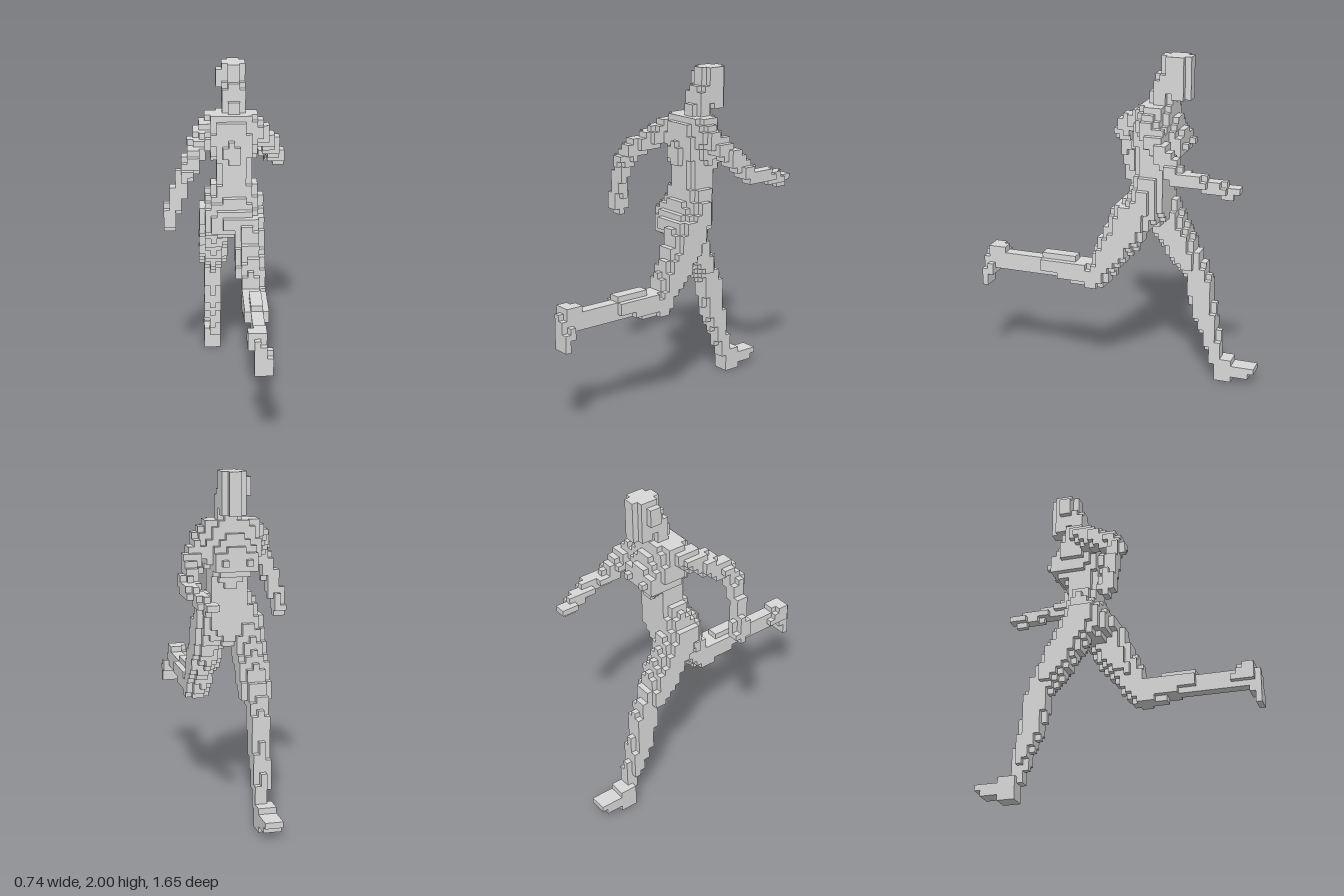
import * as THREE from 'three';

// Voxel runner in mid stride, heading toward -z
const NX = 21, NY = 57, NZ = 47, V = 2 / NY;
const centre = (i, j, k) => [(i - NX / 2 + 0.5) * V, (j + 0.5) * V, (k - NZ / 2 + 0.5) * V];
const lerp = THREE.MathUtils.lerp;

// Solid with elliptical sections lofted along y or z. Stations: [t, a, b, ra, rb]
// axis 'y': a = x, b = z; axis 'z': a = x, b = y
function loft(axis, rows) {
  const s = rows.slice().sort((p, q) => p[0] - q[0]);
  return ([x, y, z]) => {
    const t = axis === 'y' ? y : z, b = axis === 'y' ? z : y;
    for (let n = 0; n < s.length - 1; n++) {
      if (t < s[n][0] || t > s[n + 1][0]) continue;
      const f = (t - s[n][0]) / (s[n + 1][0] - s[n][0]);
      const [, ca, cb, ra, rb] = s[n].map((v, m) => lerp(v, s[n + 1][m], f));
      return ((x - ca) / ra) ** 2 + ((b - cb) / rb) ** 2 <= 1;
    }
    return false;
  };
}

// Chain of tapered capsules through nodes [x, y, z, radius]
function limb(...nodes) {
  return ([x, y, z]) => {
    const p = new THREE.Vector3(x, y, z);
    for (let n = 0; n < Math.max(1, nodes.length - 1); n++) {
      const a = nodes[n], b = nodes[n + 1] || a;
      const A = new THREE.Vector3(...a), d = new THREE.Vector3(...b).sub(A);
      const f = THREE.MathUtils.clamp(p.clone().sub(A).dot(d) / (d.lengthSq() || 1), 0, 1);
      if (A.addScaledVector(d, f).distanceTo(p) <= lerp(a[3], b[3], f)) return true;
    }
    return false;
  };
}

const parts = {
  head: [
    loft('y', [[2, 0.052, -0.335, 0.068, 0.08], [1.95, 0.052, -0.351, 0.072, 0.092],
      [1.85, 0.052, -0.351, 0.072, 0.092], [1.755, 0.052, -0.37, 0.064, 0.07]]),
    limb([-0.035, 1.88, -0.33, 0.025], [-0.035, 1.95, -0.33, 0.025]),
  ],
  neck: [loft('y', [[1.9, 0.052, -0.29, 0.064, 0.062], [1.7, 0.052, -0.26, 0.072, 0.067]])],
  torso: [
    loft('y', [[1.73, 0.035, -0.25, 0.155, 0.08], [1.66, 0.035, -0.235, 0.18, 0.11],
      [1.6, 0.035, -0.24, 0.175, 0.13], [1.5, 0.04, -0.26, 0.15, 0.165], [1.43, 0.05, -0.245, 0.118, 0.14],
      [1.36, 0.052, -0.22, 0.108, 0.11], [1.3, 0.052, -0.212, 0.125, 0.095], [1.22, 0.05, -0.205, 0.175, 0.105],
      [1.1, 0.035, -0.165, 0.195, 0.14], [1.04, 0.035, -0.16, 0.18, 0.13], [0.985, 0.035, -0.17, 0.1, 0.07]]),
    limb([-0.03, 1.49, -0.355, 0.07]), limb([0.105, 1.49, -0.355, 0.07]),
  ],
  leftArm: [limb([0.19, 1.61, -0.22, 0.065], [0.27, 1.51, -0.32, 0.055], [0.325, 1.38, -0.43, 0.048],
    [0.32, 1.365, -0.55, 0.042], [0.29, 1.32, -0.68, 0.038], [0.262, 1.31, -0.755, 0.036])],
  rightArm: [limb([-0.13, 1.62, -0.17, 0.065], [-0.2, 1.51, 0.03, 0.054], [-0.23, 1.46, 0.07, 0.048],
    [-0.295, 1.3, 0.05, 0.042], [-0.34, 1.13, 0.035, 0.044])],
  leftThigh: [loft('y', [[1.14, 0.135, -0.14, 0.09, 0.13], [1, 0.14, -0.1, 0.09, 0.13],
    [0.87, 0.145, -0.03, 0.087, 0.12], [0.75, 0.15, 0.05, 0.077, 0.092], [0.6, 0.155, 0.14, 0.062, 0.092]])],
  leftShin: [loft('z', [[0.04, 0.155, 0.67, 0.07, 0.072], [0.22, 0.158, 0.67, 0.072, 0.075],
    [0.26, 0.158, 0.695, 0.072, 0.077], [0.41, 0.158, 0.7, 0.068, 0.072], [0.44, 0.158, 0.684, 0.04, 0.052],
    [0.6, 0.158, 0.684, 0.04, 0.052], [0.68, 0.145, 0.69, 0.05, 0.06], [0.8, 0.15, 0.7, 0.05, 0.07]])],
  leftFoot: [loft('y', [[0.78, 0.145, 0.735, 0.05, 0.055], [0.69, 0.15, 0.765, 0.055, 0.06],
    [0.62, 0.17, 0.79, 0.05, 0.04], [0.58, 0.175, 0.805, 0.05, 0.025], [0.52, 0.175, 0.805, 0.03, 0.025]])],
  rightLeg: [loft('y', [[1.16, -0.06, -0.19, 0.1, 0.11], [1, -0.07, -0.24, 0.097, 0.128],
    [0.9, -0.07, -0.31, 0.092, 0.115], [0.76, -0.073, -0.378, 0.088, 0.1], [0.65, -0.07, -0.46, 0.062, 0.08],
    [0.4, -0.07, -0.505, 0.057, 0.072], [0.28, -0.07, -0.545, 0.054, 0.06], [0.2, -0.06, -0.57, 0.044, 0.05],
    [0.12, -0.055, -0.595, 0.038, 0.045]])],
  rightFoot: [loft('z', [[-0.83, -0.07, 0.088, 0.05, 0.02], [-0.77, -0.07, 0.07, 0.052, 0.04],
    [-0.69, -0.07, 0.07, 0.055, 0.045], [-0.68, -0.07, 0.07, 0.055, 0.075], [-0.58, -0.07, 0.07, 0.055, 0.075]])],
};

export function createModel() {
  const group = new THREE.Group();
  const grey = new THREE.MeshStandardMaterial({ color: 0xd8d8d8 });
  grey.name = 'grey';

  // Each voxel belongs to the first part that contains its centre
  const owner = new Map();
  const key = (c) => c.join();
  for (let i = 0; i < NX; i++) for (let j = 0; j < NY; j++) for (let k = 0; k < NZ; k++) {
    const p = centre(i, j, k);
    for (const name in parts) {
      if (parts[name].some((inside) => inside(p))) { owner.set(key([i, j, k]), name); break; }
    }
  }

  // Outward faces of each part's voxels
  for (const name in parts) {
    const pos = [], nor = [], index = [];
    for (const [cell, who] of owner) {
      if (who !== name) continue;
      const c = cell.split(',').map(Number), m = centre(...c);
      for (let axis = 0; axis < 3; axis++) for (const sign of [-1, 1]) {
        const next = c.slice();
        next[axis] += sign;
        if (owner.has(key(next))) continue;
        const u = (axis + 1) % 3, w = (axis + 2) % 3, base = pos.length / 3;
        for (const [du, dw] of [[-1, -1], [1, -1], [1, 1], [-1, 1]]) {
          const p = m.slice(), n = [0, 0, 0];
          p[axis] += sign * V / 2;
          p[u] += sign * du * V / 2;
          p[w] += dw * V / 2;
          n[axis] = sign;
          pos.push(...p);
          nor.push(...n);
        }
        index.push(base, base + 1, base + 2, base, base + 2, base + 3);
      }
    }
    const geo = new THREE.BufferGeometry();
    geo.setAttribute('position', new THREE.Float32BufferAttribute(pos, 3));
    geo.setAttribute('normal', new THREE.Float32BufferAttribute(nor, 3));
    geo.setIndex(index);
    const mesh = new THREE.Mesh(geo, grey);
    mesh.name = name;
    group.add(mesh);
  }
  return group;
}
